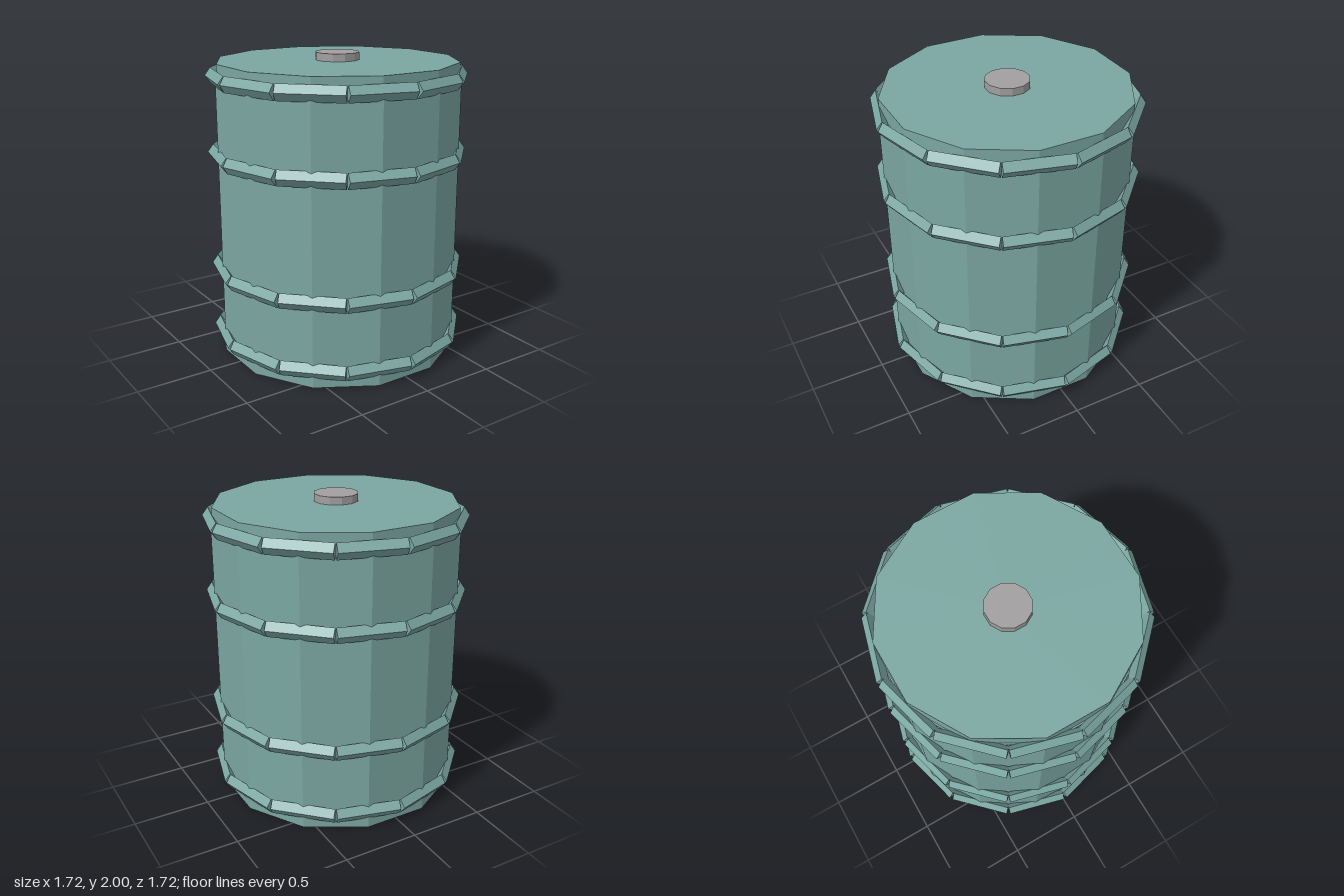
import * as THREE from 'three';

const SIDES = 12;
const STEP = (Math.PI * 2) / SIDES;

// Give every face its own flat normal
function faceted(geometry) {
  const flat = geometry.toNonIndexed();
  flat.computeVertexNormals();
  return flat;
}

// Twelve-sided drum whose flats face the main axes; apothem is the distance to a flat
function drum(name, apothem, bottom, top, material) {
  const radius = apothem / Math.cos(STEP / 2);
  const geometry = new THREE.CylinderGeometry(radius, radius, top - bottom, SIDES);
  geometry.rotateY(STEP / 2);
  geometry.translate(0, (bottom + top) / 2, 0);
  const mesh = new THREE.Mesh(faceted(geometry), material);
  mesh.name = name;
  return mesh;
}

// Diamond-section bar lying along x, its centre line pushed out along z
function hoopBar() {
  const geometry = new THREE.CylinderGeometry(1, 1, 0.42, 4);
  geometry.rotateZ(Math.PI / 2);
  geometry.scale(1, 0.051, 0.037);
  geometry.translate(0, 0, 0.798);
  return faceted(geometry);
}

export function createModel() {
  const model = new THREE.Group();
  model.name = 'barrel';

  const paint = new THREE.MeshStandardMaterial({ color: 0x7ba7a2 });
  paint.name = 'teal paint';
  const metal = new THREE.MeshStandardMaterial({ color: 0xa19f9f });
  metal.name = 'grey metal';

  // Body, slightly narrower lid, and filler cap
  model.add(drum('body', 0.78, 0, 1.85, paint));
  model.add(drum('lid', 0.77, 1.85, 1.95, paint));
  model.add(drum('cap', 0.14, 1.95, 2, metal));

  // Four hoops, each of twelve bars meeting in front of the body's flats
  const bar = hoopBar();
  for (const y of [0.115, 0.57, 1.35, 1.855]) {
    const hoop = new THREE.Group();
    hoop.name = 'hoop';
    hoop.position.y = y;
    for (let i = 0; i < SIDES; i++) {
      const mesh = new THREE.Mesh(bar, paint);
      mesh.name = 'hoopBar';
      mesh.rotation.y = (i + 0.5) * STEP;
      hoop.add(mesh);
    }
    model.add(hoop);
  }
  return model;
}
